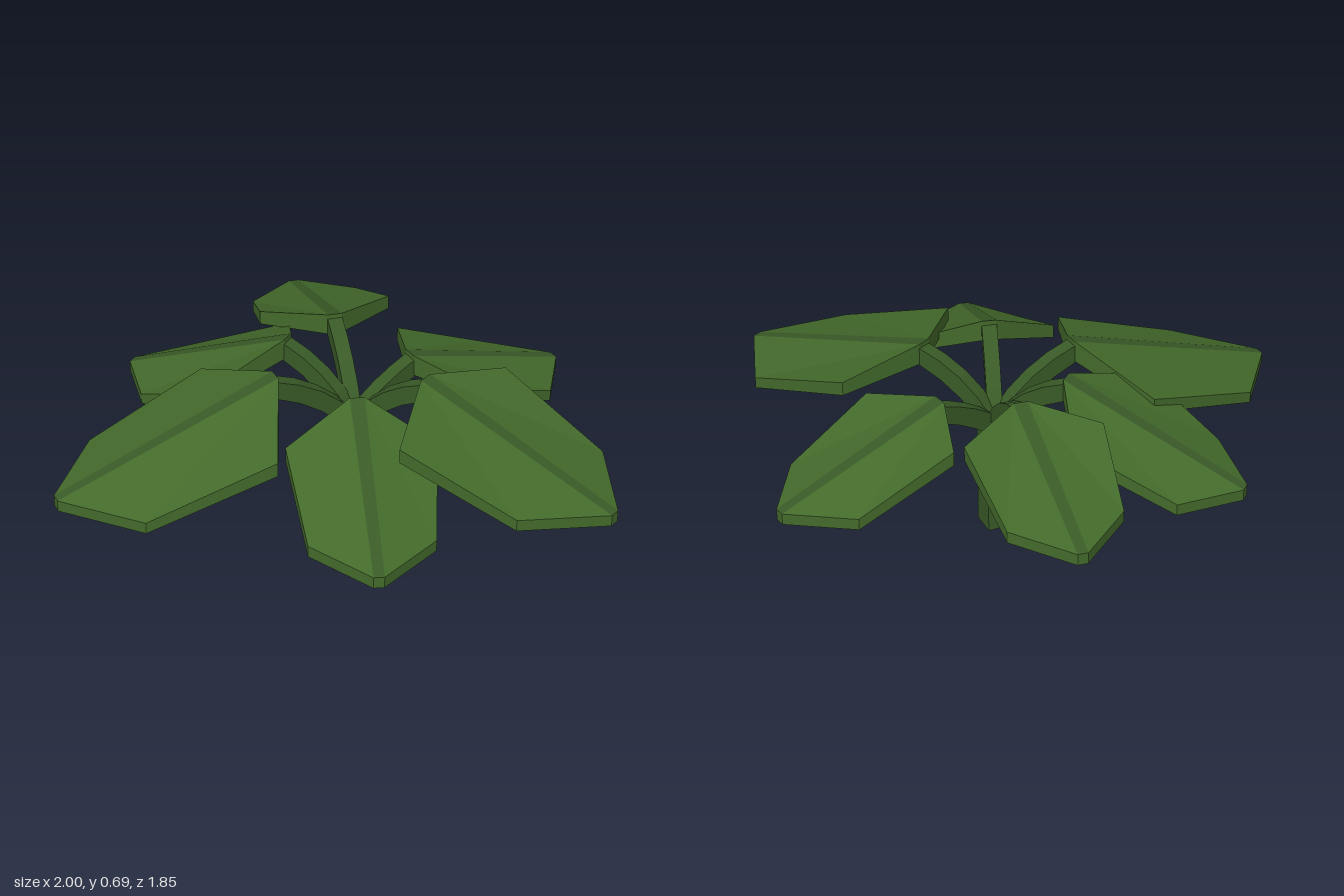
import * as THREE from 'three';

const VEIN = 0.026; // half width of the flat midrib
const HUB = new THREE.Vector3(0.123, 0, 0.015);
// Leaf thickness around the rim, deepest where the stalk joins
const THICKNESS = [0.08, 0.052, 0.042, 0.042, 0.042, 0.042, 0.052, 0.08];

// Six corners per leaf [x, y, z]: base, two side corners, tip, two side corners (counter-clockwise from above)
const LEAVES = [
  [[-0.18, 0.69, 0.03], [-0.35, 0.57, -0.29], [-0.80, 0.43, -0.19], [-1.00, 0.41, 0.09], [-0.76, 0.42, 0.355], [-0.30, 0.57, 0.385]],
  [[0.36, 0.62, -0.05], [0.54, 0.56, 0.19], [0.87, 0.42, 0.075], [1.00, 0.41, -0.17], [0.78, 0.42, -0.34], [0.42, 0.57, -0.31]],
  [[0.165, 0.69, -0.29], [0.425, 0.65, -0.41], [0.42, 0.515, -0.74], [0.235, 0.49, -0.92], [0.02, 0.51, -0.785], [-0.06, 0.65, -0.47]],
  [[-0.05, 0.69, -0.20], [0.05, 0.58, -0.47], [-0.22, 0.42, -0.71], [-0.49, 0.41, -0.70], [-0.54, 0.43, -0.42], [-0.41, 0.57, -0.12]],
  [[0.03, 0.69, 0.27], [-0.25, 0.58, 0.32], [-0.30, 0.42, 0.67], [-0.14, 0.41, 0.90], [0.11, 0.42, 0.79], [0.25, 0.57, 0.46]],
  [[0.30, 0.69, 0.23], [0.08, 0.625, 0.53], [0.36, 0.49, 0.87], [0.70, 0.465, 0.915], [0.82, 0.48, 0.585], [0.63, 0.63, 0.18]],
];

const leafMaterial = new THREE.MeshStandardMaterial({ color: 0x436a2b, flatShading: true });
const stemMaterial = new THREE.MeshStandardMaterial({ color: 0x395a27, flatShading: true });

function mesh(name, geometry, material) {
  const m = new THREE.Mesh(geometry, material);
  m.name = name;
  return m;
}

// Flat-faced geometry from triangles of points
function fromTriangles(points) {
  const geometry = new THREE.BufferGeometry().setFromPoints(points);
  geometry.computeVertexNormals();
  return geometry;
}

const quad = (a, b, c, d) => [a, b, c, a, c, d];

// Folded slab: two drooping halves either side of a flat midrib
function createLeaf(corners) {
  const [base, a, b, tip, c, d] = corners.map((p) => new THREE.Vector3(...p));
  const along = tip.clone().sub(base).setY(0).normalize();
  const side = new THREE.Vector3(-along.z, 0, along.x).multiplyScalar(VEIN);
  const shifted = (p, amount) => p.clone().addScaledVector(side, amount);
  const rim = [shifted(base, 1), a, b, shifted(tip, 0.7), shifted(tip, -0.7), c, d, shifted(base, -1)];
  const under = rim.map((p, i) => p.clone().setY(p.y - THICKNESS[i]));

  // Top and underside of a four-cornered panel
  const panel = (ids) => [
    ...quad(...ids.map((i) => rim[i])),
    ...quad(...ids.map((i) => under[i]).reverse()),
  ];
  const blade = [...panel([0, 1, 2, 3]), ...panel([7, 4, 5, 6])];

  // Rim walls
  rim.forEach((p, i) => {
    const next = (i + 1) % rim.length;
    blade.push(...quad(p, under[i], under[next], rim[next]));
  });

  const leaf = new THREE.Group();
  leaf.name = 'leaf';
  leaf.add(mesh('leafBlade', fromTriangles(blade), leafMaterial));
  leaf.add(mesh('leafMidrib', fromTriangles(panel([0, 3, 4, 7])), stemMaterial));
  return leaf;
}

// Square stalk arching from the stem up to the base of a leaf
function createStalk([x, y, z]) {
  const dx = x - HUB.x, dz = z - HUB.z;
  const reach = Math.hypot(dx, dz) + 0.015;
  const top = y - 0.012, width = 0.055;
  const shape = new THREE.Shape();
  shape.moveTo(0, 0.36);
  shape.quadraticCurveTo(reach * 0.35, top - 0.14, reach, top - 0.068);
  shape.lineTo(reach, top);
  shape.quadraticCurveTo(reach * 0.35, top - 0.06, 0, 0.46);
  const geometry = new THREE.ExtrudeGeometry(shape, { depth: width, bevelEnabled: false, curveSegments: 4 });
  geometry.translate(0, 0, -width / 2);
  const stalk = mesh('leafStalk', geometry, stemMaterial);
  stalk.position.copy(HUB);
  stalk.rotation.y = Math.atan2(-dz, dx);
  return stalk;
}

export function createModel() {
  const plant = new THREE.Group();
  plant.name = 'plant';

  // Main stem
  const stem = mesh('stem', new THREE.BoxGeometry(0.095, 0.42, 0.095), stemMaterial);
  stem.position.set(HUB.x, 0.21, HUB.z + 0.007);
  plant.add(stem);

  // Leaves on their stalks
  for (const corners of LEAVES) {
    plant.add(createStalk(corners[0]));
    plant.add(createLeaf(corners));
  }
  return plant;
}
